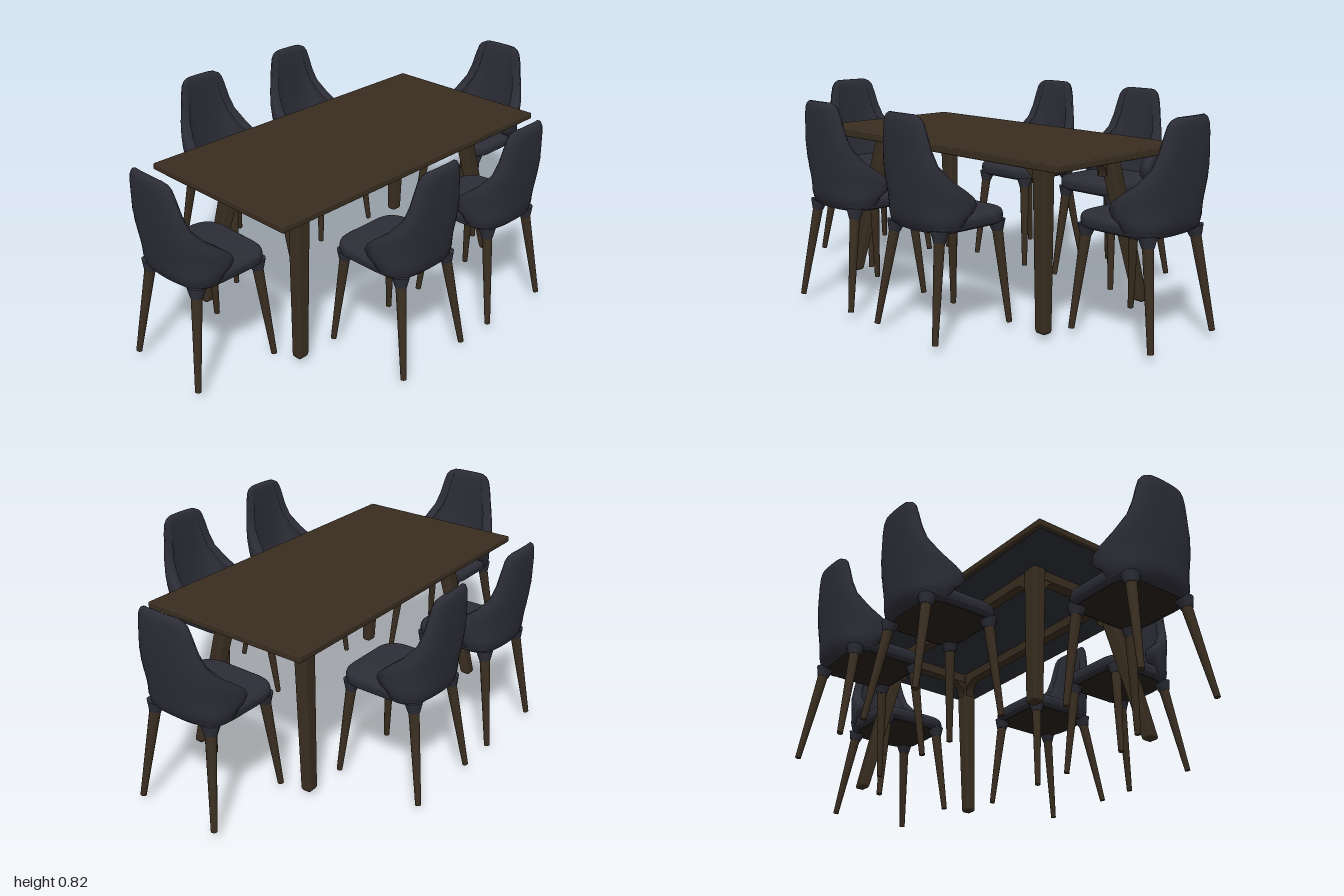
import * as THREE from 'three';
import { toCreasedNormals } from 'three/addons/utils/BufferGeometryUtils.js';
import { RoundedBoxGeometry } from 'three/addons/geometries/RoundedBoxGeometry.js';

const material = (name, color) => {
  const m = new THREE.MeshStandardMaterial({ color });
  m.name = name;
  return m;
};

export function createModel() {
  const wood = material('dark walnut', 0x392d20);
  const fabric = material('charcoal blue fabric', 0x2c2d36);
  const underside = material('dark underside', 0x231e18);

  const add = (parent, name, geometry, mat, x = 0, y = 0, z = 0) => {
    const mesh = new THREE.Mesh(geometry, mat);
    mesh.name = name;
    mesh.position.set(x, y, z);
    parent.add(mesh);
    return mesh;
  };

  // Round tapered rod between two points
  const rod = (parent, name, top, bottom, rTop, rBottom, mat) => {
    const a = new THREE.Vector3(...top), b = new THREE.Vector3(...bottom);
    const dir = a.clone().sub(b);
    const mesh = add(parent, name, new THREE.CylinderGeometry(rTop, rBottom, dir.length(), 14), mat);
    mesh.position.copy(a).add(b).multiplyScalar(0.5);
    mesh.quaternion.setFromUnitVectors(new THREE.Vector3(0, 1, 0), dir.normalize());
  };

  // Curved backrest: U-shaped sections [y, half width, wing front z, back z, thickness]
  const backRows = [
    [0.405, 0.148, 0.54, 0.625, 0.03],
    [0.425, 0.165, 0.53, 0.647, 0.035],
    [0.455, 0.174, 0.517, 0.655, 0.036],
    [0.475, 0.179, 0.49, 0.659, 0.035],
    [0.5, 0.182, 0.478, 0.662, 0.034],
    [0.525, 0.181, 0.487, 0.665, 0.034],
    [0.55, 0.176, 0.515, 0.668, 0.034],
    [0.593, 0.16, 0.57, 0.672, 0.035],
    [0.648, 0.138, 0.615, 0.677, 0.036],
    [0.7, 0.124, 0.63, 0.68, 0.037],
    [0.76, 0.112, 0.64, 0.683, 0.036],
    [0.795, 0.102, 0.645, 0.683, 0.033],
    [0.812, 0.09, 0.65, 0.68, 0.026],
    [0.822, 0.07, 0.658, 0.672, 0.012],
  ];
  const N = 24, L = 2 * (N + 1), positions = [], index = [];
  for (const [y, w, zf, zb, t] of backRows) {
    for (let k = 0; k < L; k++) {
      const inner = k > N;
      const a = ((inner ? L - 1 - k : k) / N - 0.5) * Math.PI;
      const s = Math.sign(Math.sin(a)) * Math.abs(Math.sin(a)) ** 0.8;
      const c = Math.max(0, Math.cos(a)) ** 0.8;
      const inset = inner ? t : 0;
      positions.push((w - inset) * s, y, zf + Math.max(0, zb - inset - zf) * c);
    }
  }
  const last = (backRows.length - 1) * L;
  for (let j = 0; j < backRows.length - 1; j++) {
    for (let k = 0; k < L; k++) {
      const p = j * L + k, q = j * L + (k + 1) % L;
      index.push(p, q, q + L, p, q + L, p + L);
    }
  }
  for (let k = 0; k < N; k++) {
    const o = k, i = L - 1 - k;
    index.push(last + o, last + o + 1, last + i - 1, last + o, last + i - 1, last + i);
    index.push(o, i - 1, o + 1, o, i, i - 1);
  }
  const backGeometry = new THREE.BufferGeometry();
  backGeometry.setAttribute('position', new THREE.Float32BufferAttribute(positions, 3));
  backGeometry.setIndex(index);
  backGeometry.computeVertexNormals();

  // Seat outline, extruded upward once laid flat
  const seatShape = (w, front, back, r) => {
    const s = new THREE.Shape();
    s.moveTo(-w + r, -front);
    s.lineTo(w - r, -front);
    s.quadraticCurveTo(w, -front, w, -front - r);
    s.lineTo(w, -back + r * 1.4);
    s.quadraticCurveTo(w, -back, w - r, -back);
    s.lineTo(-w + r, -back);
    s.quadraticCurveTo(-w, -back, -w, -back + r * 1.4);
    s.lineTo(-w, -front - r);
    s.quadraticCurveTo(-w, -front, -w + r, -front);
    return s;
  };
  const flat = (shape, options) => new THREE.ExtrudeGeometry(shape, options).rotateX(-Math.PI / 2);
  const seatGeometry = toCreasedNormals(flat(seatShape(0.145, 0.312, 0.612, 0.07), {
    depth: 0.014, bevelThickness: 0.021, bevelSize: 0.021, bevelSegments: 5, curveSegments: 10,
  }), 0.7);
  const seatBaseGeometry = flat(seatShape(0.143, 0.314, 0.61, 0.07),
    { depth: 0.005, bevelEnabled: false, curveSegments: 10 });

  const makeChair = (longLeg = 0) => {
    const chair = new THREE.Group();
    chair.name = 'chair';
    add(chair, 'backrest', backGeometry, fabric);
    add(chair, 'seat', seatGeometry, fabric, 0, 0.428, 0);
    add(chair, 'seatUnderside', seatBaseGeometry, underside, 0, 0.404, 0);
    for (const side of [-1, 1]) {
      const legs = [
        ['frontLeg', [0.122, 0.415, 0.328], [0.158, side === longLeg ? 0.002 : 0.025, 0.295]],
        ['backLeg', [0.122, 0.415, 0.598], [0.166, 0.025, 0.662]],
      ];
      for (const [name, top, bottom] of legs) {
        const a = [side * top[0], top[1], top[2]], b = [side * bottom[0], bottom[1], bottom[2]];
        const mid = a.map((v, i) => v + (b[i] - v) * 0.1);
        rod(chair, name, a, b, 0.021, 0.011, wood);
        rod(chair, name + 'Socket', a, mid, 0.034, 0.0215, fabric);
      }
    }
    return chair;
  };

  const model = new THREE.Group();
  model.name = 'diningSet';

  // Chairs on the long sides
  for (const x of [-0.25, 0.25]) {
    for (const back of [false, true]) {
      const chair = makeChair();
      chair.position.set(x, 0, back ? 0 : -0.005);
      chair.rotation.y = back ? Math.PI : 0;
      model.add(chair);
    }
  }
  // Wider chairs at the two ends
  for (const side of [-1, 1]) {
    const chair = makeChair(side < 0 ? 1 : 0);
    chair.scale.x = 1.09;
    chair.position.x = side * 0.317;
    chair.rotation.y = side * Math.PI / 2;
    model.add(chair);
  }

  // Table
  const table = new THREE.Group();
  table.name = 'table';
  model.add(table);
  add(table, 'tabletop', new RoundedBoxGeometry(1.43, 0.026, 0.735, 2, 0.005), wood, -0.003, 0.647, 0.003);
  add(table, 'tabletopUnderside', new THREE.BoxGeometry(1.4, 0.004, 0.7), fabric, -0.003, 0.633, 0.003);

  // Splayed, tapered table leg made by shearing a rounded box
  const tableLeg = (sx, sz) => {
    const g = new RoundedBoxGeometry(0.07, 0.615, 0.06, 3, 0.014);
    const p = g.attributes.position;
    for (let i = 0; i < p.count; i++) {
      const t = p.getY(i) / 0.615 + 0.5;
      const k = 0.72 + 0.28 * t;
      p.setX(i, p.getX(i) * k + sx * (0.574 - 0.104 * t));
      p.setZ(i, p.getZ(i) * k + sz * (0.28 - 0.1 * t));
    }
    return g;
  };

  // Concave bracket that eases a leg into its rail
  const bracketShape = new THREE.Shape();
  bracketShape.moveTo(0, 0);
  bracketShape.lineTo(0, -0.07);
  bracketShape.quadraticCurveTo(0.006, -0.006, 0.07, 0);
  bracketShape.lineTo(0, 0);
  const bracket = new THREE.ExtrudeGeometry(bracketShape, { depth: 0.04, bevelEnabled: false, curveSegments: 8 })
    .translate(0, 0, -0.02);

  for (const sx of [-1, 1]) {
    add(table, 'endRail', new THREE.BoxGeometry(0.045, 0.042, 0.36), wood, sx * 0.47, 0.613, 0);
    for (const sz of [-1, 1]) {
      add(table, 'tableLeg', tableLeg(sx, sz), wood, 0, 0.3275, 0);
      add(table, 'longRailBracket', bracket, wood, sx * 0.44, 0.594, sz * 0.18)
        .rotation.y = sx > 0 ? Math.PI : 0;
      add(table, 'endRailBracket', bracket, wood, sx * 0.47, 0.594, sz * 0.155)
        .rotation.y = sz * Math.PI / 2;
    }
  }
  for (const sz of [-1, 1]) {
    add(table, 'longRail', new THREE.BoxGeometry(0.94, 0.042, 0.04), wood, 0, 0.613, sz * 0.18);
  }
  return model;
}
